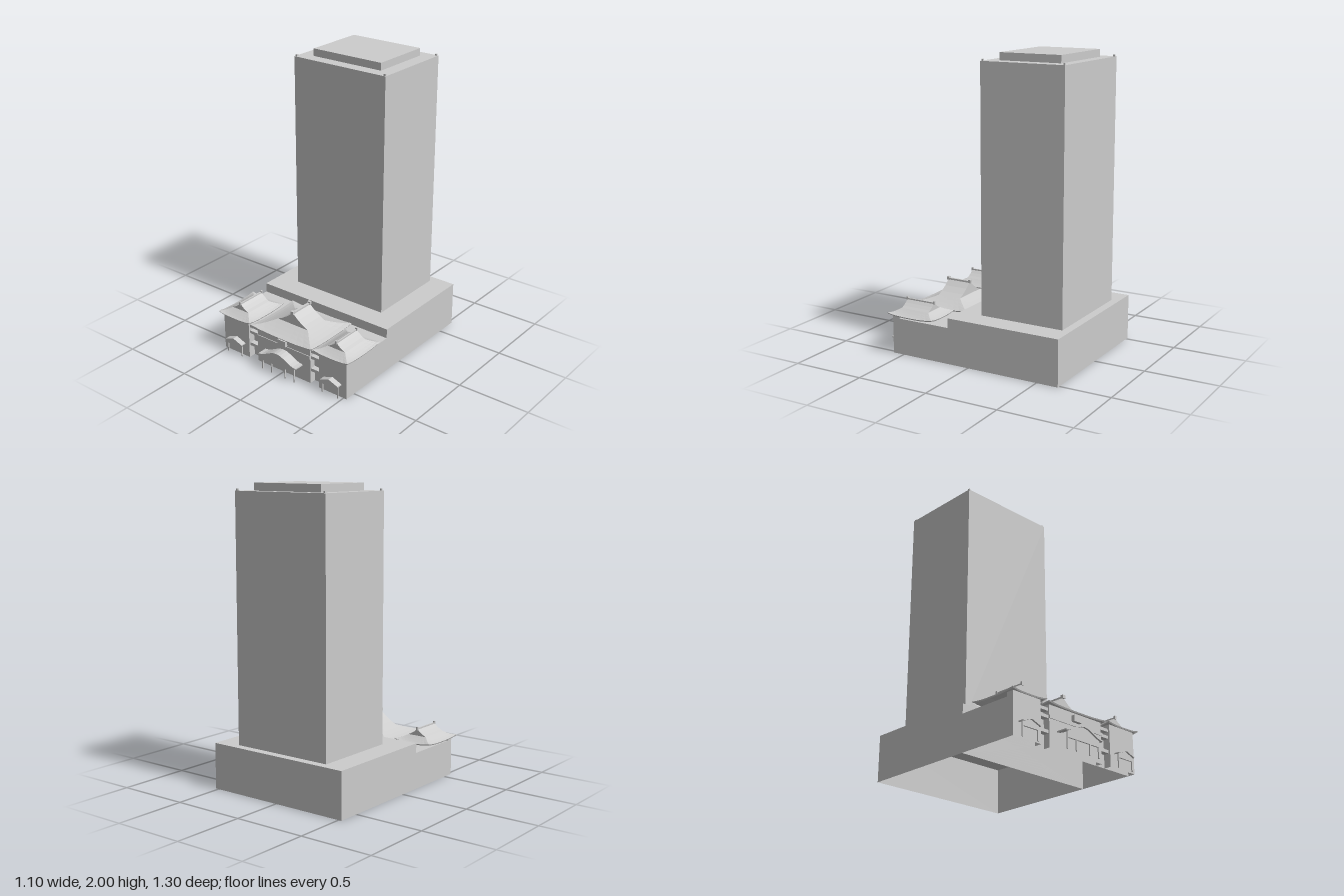
import * as THREE from 'three';

const stone = new THREE.MeshStandardMaterial({ color: 0xcccccc, side: THREE.DoubleSide });
stone.name = 'pale grey';

function add(parent, name, geometry) {
  const flat = geometry.index ? geometry.toNonIndexed() : geometry;
  flat.computeVertexNormals();
  const mesh = new THREE.Mesh(flat, stone);
  mesh.name = name;
  parent.add(mesh);
  return mesh;
}

// Box given by its limits; open boxes have no floor
function box(parent, name, [x0, x1], [y0, y1], [z0, z1], open = false) {
  const g = new THREE.BoxGeometry(x1 - x0, y1 - y0, z1 - z0);
  if (open) {
    const index = Array.from(g.index.array);
    index.splice(18, 6);
    g.setIndex(index);
  }
  g.translate((x0 + x1) / 2, (y0 + y1) / 2, (z0 + z1) / 2);
  return add(parent, name, g);
}

// Outline in x and y, pushed along z
function prism(parent, name, points, z0, z1) {
  const shape = new THREE.Shape(points.map(([x, y]) => new THREE.Vector2(x, y)));
  const g = new THREE.ExtrudeGeometry(shape, { depth: z1 - z0, bevelEnabled: false });
  g.translate(0, 0, z0);
  return add(parent, name, g);
}

// Flared skirt of a hipped roof: four sloping sides with upturned corners
function skirtGeometry(outer, inner, y0, y1, lift) {
  const levels = 4, steps = 8, pos = [], index = [];
  const corners = [[-1, 1], [1, 1], [1, -1], [-1, -1]];
  for (let s = 0; s < 4; s++) {
    const a = corners[s], b = corners[(s + 1) % 4];
    const base = pos.length / 3;
    for (let l = -1; l <= levels; l++) {
      const t = Math.max(l, 0) / levels;
      const edge = l < 0 ? 0.004 : 0;
      const hx = THREE.MathUtils.lerp(outer[0], inner[0], t) - edge;
      const hz = THREE.MathUtils.lerp(outer[1], inner[1], t) - edge;
      for (let i = 0; i <= steps; i++) {
        const u = i / steps;
        const up = lift * Math.pow(Math.abs(2 * u - 1), 3) * (1 - t) * (1 - t);
        pos.push(
          hx * THREE.MathUtils.lerp(a[0], b[0], u),
          y0 + (y1 - y0) * Math.pow(t, 1.25) + up - edge * 2,
          hz * THREE.MathUtils.lerp(a[1], b[1], u));
      }
    }
    const row = steps + 1;
    for (let l = 0; l <= levels; l++) {
      for (let i = 0; i < steps; i++) {
        const p = base + l * row + i;
        index.push(p, p + 1, p + row, p + 1, p + row + 1, p + row);
      }
    }
  }
  const g = new THREE.BufferGeometry();
  g.setAttribute('position', new THREE.Float32BufferAttribute(pos, 3));
  g.setIndex(index);
  return g;
}

// Hip-and-gable roof with a ridge along z
function gableRoof(parent, name, o) {
  const roof = new THREE.Group();
  roof.name = name;
  roof.position.set(o.x, 0, o.z);
  add(roof, 'roofSkirt', skirtGeometry(o.outer, o.inner, o.eave, o.mid, 0.012));
  const [w, d] = o.inner, h = o.top - o.mid;
  prism(roof, 'gable', [
    [-w, o.mid], [w, o.mid], [w * 0.72, o.mid + h * 0.2], [w * 0.36, o.mid + h * 0.54],
    [0, o.top], [-w * 0.36, o.mid + h * 0.54], [-w * 0.72, o.mid + h * 0.2],
  ], -d, d);
  const r = o.ridge;
  box(roof, 'ridge', [-r, r], [o.top - 0.01, o.top + 0.005], [-d, d]);
  for (const s of [-1, 1]) {
    box(roof, 'ridgeEnd', [-r * 1.4, r * 1.4], [o.top - 0.008, o.top + 0.014],
      [s * d - r * 1.2, s * d + r * 1.2]);
  }
  parent.add(roof);
}

// Entrance canopy: curved roof slab on posts, with a beam below
function canopy(parent, name, o) {
  const g = new THREE.Group();
  g.name = name;
  g.position.x = o.x;
  const n = 12, upper = [], lower = [];
  for (let i = 0; i <= n; i++) {
    const u = (2 * i) / n - 1;
    const y = o.low + (o.high - o.low) * (o.arched ? 0.5 + 0.5 * Math.cos(Math.PI * u) : 1 - Math.abs(u));
    upper.push([u * o.half, y]);
    lower.unshift([u * o.half, y - 0.008]);
  }
  prism(g, 'canopyRoof', [...upper, ...lower], 0.575, o.front);
  const w = o.half * 0.9;
  // pediment panel closing the space under the curve
  const inner = upper.filter(([x]) => Math.abs(x) <= w).map(([x, y]) => [x, y - 0.006]);
  const ends = [[inner[inner.length - 1][0], o.beam], [inner[0][0], o.beam]];
  prism(g, 'pediment', [...inner, ...ends], o.front - 0.022, o.front - 0.012);
  for (const px of o.posts) {
    box(g, 'post', [px - 0.004, px + 0.004], [0, o.low], [o.front - 0.02, o.front - 0.012]);
  }
  parent.add(g);
}

export function createModel() {
  const model = new THREE.Group();
  model.name = 'towerWithGatehouse';

  // Tower
  box(model, 'towerShaft', [-0.362, 0.362], [0.31, 1.95], [-0.595, -0.008]);
  box(model, 'penthouse', [-0.268, 0.268], [1.95, 2], [-0.52, -0.09]);
  for (const x of [-0.35, 0.35]) {
    for (const z of [-0.585, -0.02]) {
      box(model, 'roofMarker', [x - 0.006, x + 0.006], [1.95, 1.962], [z - 0.006, z + 0.006]);
    }
  }

  // Podium, hollow from below
  box(model, 'podium', [-0.522, 0.522], [0, 0.31], [-0.65, 0.15], true);
  box(model, 'frontPodium', [-0.522, 0.522], [0, 0.245], [0.15, 0.53], true);

  // Facade blocks
  box(model, 'centreFacade', [-0.225, 0.225], [0, 0.265], [0.53, 0.575], true);
  box(model, 'facadeBand', [-0.225, 0.225], [0.18, 0.2], [0.575, 0.58]);
  box(model, 'plaque', [-0.032, 0.032], [0.205, 0.245], [0.575, 0.598]);
  for (const s of [-1, 1]) {
    const span = (a, b) => (s > 0 ? [a, b] : [-b, -a]);
    box(model, 'wingFacade', span(0.3, 0.522), [0, 0.272], [0.53, 0.58], true);
    // ledges in the recess between centre and wing
    for (const [y0, y1] of [[0.087, 0.108], [0.18, 0.2], [0.225, 0.245]]) {
      box(model, 'recessLedge', span(0.225, 0.3), [y0, y1], [0.53, 0.568]);
    }
    gableRoof(model, 'wingRoof', {
      x: s * 0.409, z: 0.433, outer: [0.14, 0.173], inner: [0.07, 0.105],
      eave: 0.27, mid: 0.306, top: 0.352, ridge: 0.005,
    });
    canopy(model, 'wingCanopy', {
      x: s * 0.41, half: 0.072, low: 0.095, high: 0.122, beam: 0.064, front: 0.62,
      posts: [-0.062, 0.062],
    });
  }

  gableRoof(model, 'centreRoof', {
    x: 0, z: 0.392, outer: [0.255, 0.214], inner: [0.128, 0.086],
    eave: 0.264, mid: 0.312, top: 0.397, ridge: 0.008,
  });
  canopy(model, 'centreCanopy', {
    x: 0, half: 0.16, low: 0.115, high: 0.168, beam: 0.07, front: 0.648, arched: true,
    posts: [-0.135, -0.058, 0.058, 0.135],
  });

  return model;
}
